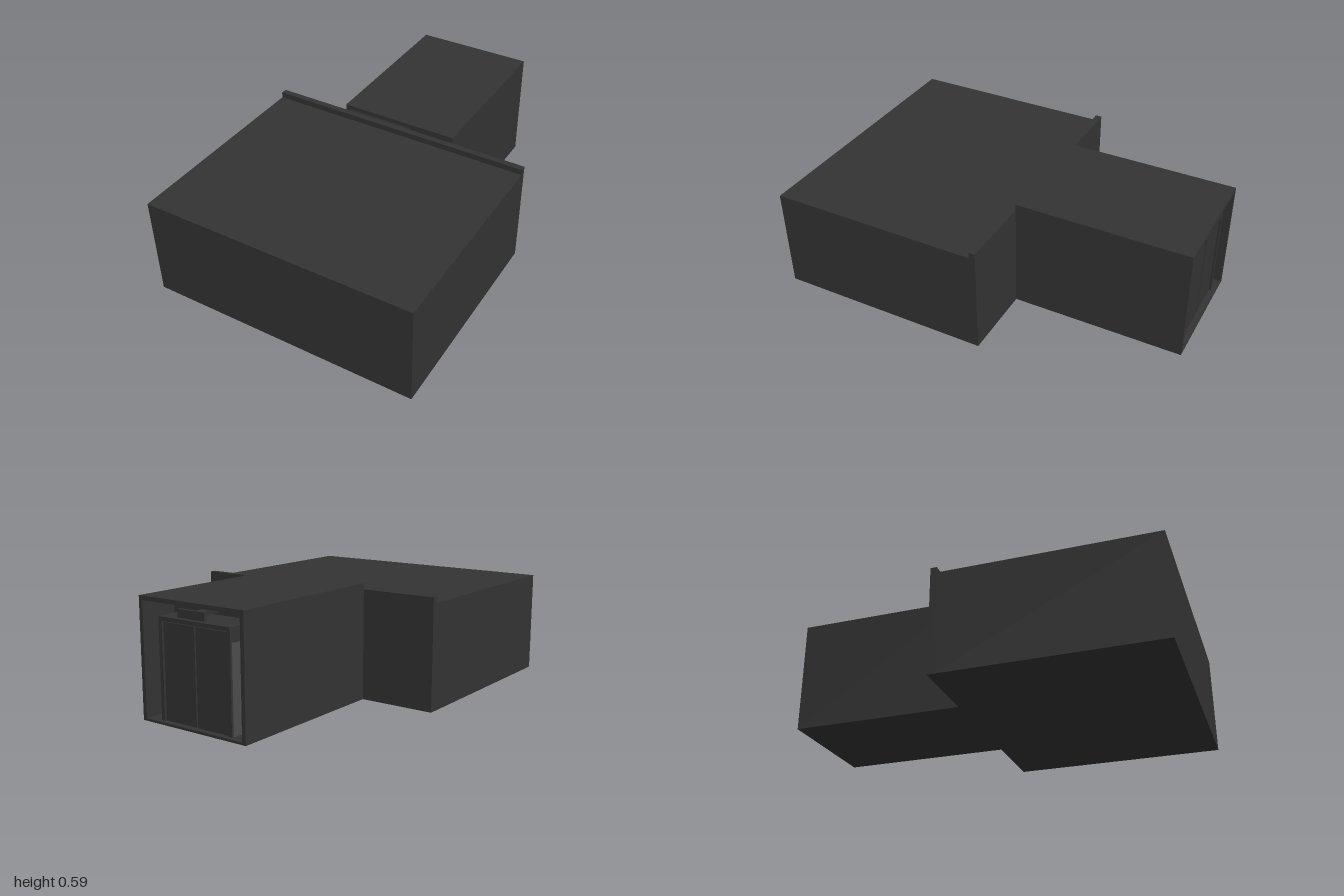
import * as THREE from 'three';

export function createModel() {
  const model = new THREE.Group();
  const wall = new THREE.MeshStandardMaterial({ color: 0x333333 });
  wall.name = 'dark grey wall';
  const trim = new THREE.MeshStandardMaterial({ color: 0x4c4c4c });
  trim.name = 'lighter grey lining';

  // Box given by its minimum and maximum corners
  function box(name, [x0, y0, z0], [x1, y1, z1], material = wall) {
    const mesh = new THREE.Mesh(new THREE.BoxGeometry(x1 - x0, y1 - y0, z1 - z0), material);
    mesh.position.set((x0 + x1) / 2, (y0 + y1) / 2, (z0 + z1) / 2);
    mesh.name = name;
    model.add(mesh);
    return mesh;
  }

  // Main hall and its raised rear wall
  box('mainHall', [-0.705, 0, -0.08], [0.705, 0.527, 1]);
  box('rearWall', [-0.705, 0, -0.112], [0.705, 0.557, -0.08]);

  // Hollow entrance wing, open at the back
  const outline = new THREE.Shape([
    new THREE.Vector2(-0.313, 0), new THREE.Vector2(0.313, 0),
    new THREE.Vector2(0.313, 0.588), new THREE.Vector2(-0.313, 0.588),
  ]);
  outline.holes.push(new THREE.Path([
    new THREE.Vector2(-0.292, 0.012), new THREE.Vector2(-0.292, 0.567),
    new THREE.Vector2(0.292, 0.567), new THREE.Vector2(0.292, 0.012),
  ]));
  const shell = new THREE.Mesh(
    new THREE.ExtrudeGeometry(outline, { depth: 0.888, bevelEnabled: false }), wall);
  shell.position.z = -1;
  shell.name = 'entranceWing';
  model.add(shell);
  box('recessBackWall', [-0.292, 0.012, -0.8], [0.292, 0.567, -0.78]);

  // Door housing with jambs, lintel and two leaves
  box('doorHousing', [-0.205, 0.012, -0.955], [0.205, 0.49, -0.8]);
  for (const side of [-1, 1]) {
    const jamb = box('doorJamb', [-0.01, 0.012, -0.978], [0.01, 0.5, -0.8]);
    jamb.position.x = side * 0.205;
    const leaf = box('doorLeaf', [-0.095, 0.012, -0.968], [0.095, 0.475, -0.955]);
    leaf.position.x = side * 0.099;
  }
  box('doorLintel', [-0.215, 0.48, -0.978], [0.215, 0.5, -0.8]);

  // Lighter lining on one side of the housing
  box('sideLining', [-0.219, 0.012, -0.97], [-0.215, 0.43, -0.8], trim);

  // Plain sign plate above the doors
  box('signPlate', [-0.08, 0.51, -0.99], [0.08, 0.55, -0.975]);
  box('signBracket', [-0.02, 0.52, -0.975], [0.02, 0.54, -0.8]);

  return model;
}
